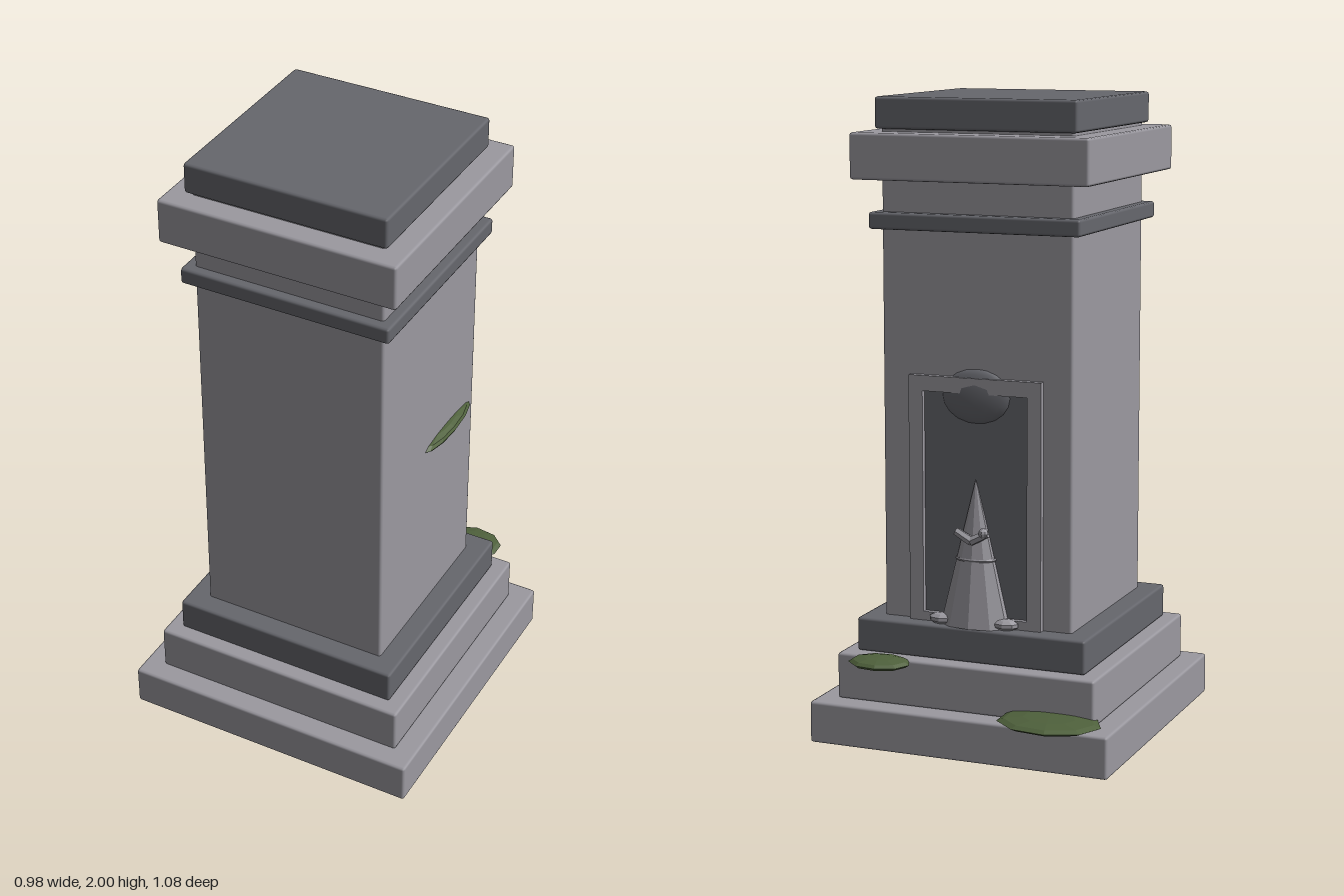
import * as THREE from 'three';
import { RoundedBoxGeometry } from 'three/addons/geometries/RoundedBoxGeometry.js';

const stone = new THREE.MeshStandardMaterial({ color: 0x9b99a0 });
const darkStone = new THREE.MeshStandardMaterial({ color: 0x66676d });
const facetedStone = new THREE.MeshStandardMaterial({ color: 0x9b99a0, flatShading: true });
const mossGreen = new THREE.MeshStandardMaterial({ color: 0x4f613c, flatShading: true });

const AXIS_Z = 0.05; // the pillar's axis
const BACK = -0.26;  // back face of the shaft

export function createModel() {
  const root = new THREE.Group();

  const add = (name, geometry, material, x, y, z, parent = root) => {
    const mesh = new THREE.Mesh(geometry, material);
    mesh.name = name;
    mesh.position.set(x, y, z);
    parent.add(mesh);
    return mesh;
  };
  const blob = (name, material, x, y, z, rx, ry, rz, parent, w = 9, h = 6) => {
    const mesh = add(name, new THREE.SphereGeometry(1, w, h), material, x, y, z, parent);
    mesh.scale.set(rx, ry, rz);
    return mesh;
  };

  // Stacked square blocks: name, half width, bottom, top, material
  const blocks = [
    ['basePlinth', 0.492, 0, 0.133, stone],
    ['middlePlinth', 0.426, 0.133, 0.28, stone],
    ['upperPlinth', 0.379, 0.28, 0.387, darkStone],
    ['shaft', 0.312, 0.38, 1.92, stone],
    ['neckBand', 0.344, 1.6, 1.652, darkStone],
    ['capital', 0.386, 1.752, 1.894, stone],
    ['topSlab', 0.328, 1.903, 2, darkStone],
  ];
  for (const [name, half, y0, y1, material] of blocks) {
    add(name, new RoundedBoxGeometry(half * 2, y1 - y0, half * 2, 1, 0.009),
      material, 0, (y0 + y1) / 2, AXIS_Z);
  }

  // Framed niche on the back
  const niche = new THREE.Group();
  niche.name = 'niche';
  root.add(niche);
  const rect = (Type, w, y0, y1) => new Type([[-w, y0], [w, y0], [w, y1], [-w, y1]]
    .map(([x, y]) => new THREE.Vector2(x, y)));
  const frame = rect(THREE.Shape, 0.218, 0.387, 1.158);
  frame.holes.push(rect(THREE.Path, 0.172, 0.415, 1.11));
  add('nicheFrame', new THREE.ExtrudeGeometry(frame, { depth: 0.03, bevelEnabled: false }),
    stone, 0, 0, BACK - 0.022, niche);
  add('nichePanel', new THREE.BoxGeometry(0.35, 0.71, 0.01), darkStone, 0, 0.76, BACK, niche);
  blob('nicheShell', darkStone, 0, 1.1, BACK, 0.115, 0.085, 0.025, niche, 16, 10);

  // Robed figure standing in the niche
  const figure = new THREE.Group();
  figure.name = 'figure';
  figure.position.set(0, 0.387, -0.27);
  root.add(figure);
  const robe = add('robe', new THREE.ConeGeometry(1, 0.46, 10), facetedStone, 0, 0.23, 0, figure);
  robe.scale.set(0.115, 1, 0.066);
  for (const side of [-1, 1]) {
    const arm = add('foldedArm', new THREE.CylinderGeometry(0.013, 0.015, 0.06, 6),
      facetedStone, side * 0.025, 0.285, -0.036, figure);
    arm.rotation.set(0.2, 0, side * -1.1);
    blob('hemFold', facetedStone, side * 0.105, 0.015, -0.02, 0.045, 0.018, 0.03, figure, 8, 5);
  }
  blob('hand', facetedStone, -0.04, 0.3, -0.038, 0.016, 0.016, 0.016, figure, 8, 6);
  const belt = add('belt', new THREE.TorusGeometry(0.062, 0.005, 5, 16), facetedStone, 0, 0.21, 0, figure);
  belt.rotation.x = Math.PI / 2;
  belt.scale.y = 0.58;

  // Moss patches
  blob('baseMoss', mossGreen, -0.3, 0.152, -0.42, 0.165, 0.018, 0.122);
  blob('plinthMoss', mossGreen, 0.263, 0.277, -0.415, 0.1, 0.018, 0.077);
  blob('shaftMoss', mossGreen, 0.305, 0.997, -0.08, 0.036, 0.02, 0.162, root, 12);

  return root;
}
